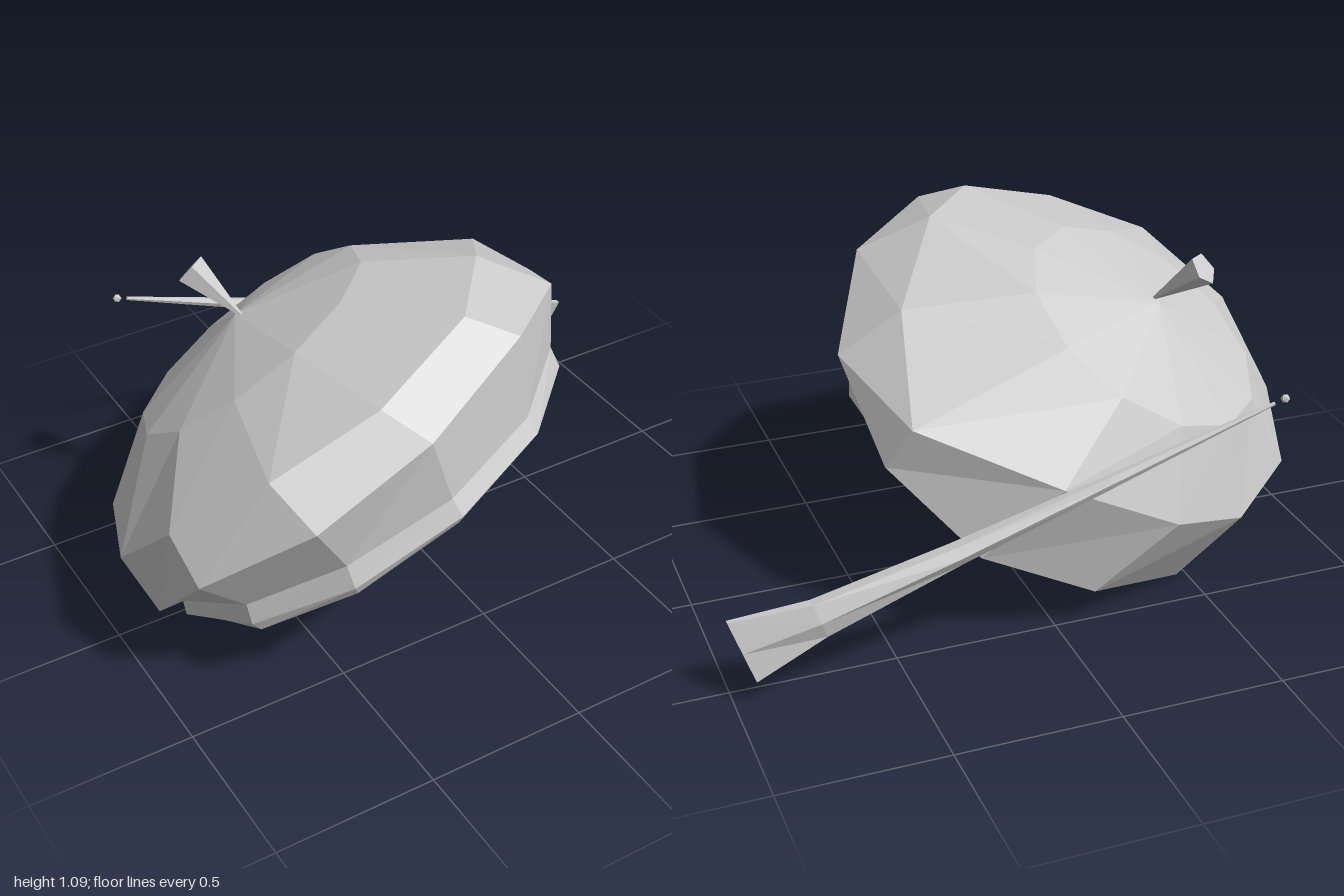
import * as THREE from 'three';

const V = (x, y, z) => new THREE.Vector3(x, y, z);
const material = new THREE.MeshStandardMaterial({ color: 0xcccccc, flatShading: true });

// Tilted elliptical ring: centre, two half-axis vectors, optional nudges per corner
function ring(sides, c, a, b, nudges = {}) {
  return Array.from({ length: sides }, (_, i) => {
    const t = (i / sides) * Math.PI * 2;
    return V(...c)
      .addScaledVector(V(...a), Math.cos(t))
      .addScaledVector(V(...b), Math.sin(t))
      .add(V(...(nudges[i] ?? [0, 0, 0])));
  });
}

// A ring collapsed to one point, closing a loft
const point = (sides, c) => ring(sides, c, [0, 0, 0], [0, 0, 0]);

// Flat-shaded skin through consecutive rings
function loft(name, rings) {
  const pos = [];
  const tri = (a, b, c) => {
    if (a.equals(b) || b.equals(c) || a.equals(c)) return;
    for (const p of [a, b, c]) pos.push(p.x, p.y, p.z);
  };
  for (let r = 0; r + 1 < rings.length; r++) {
    const up = rings[r], low = rings[r + 1], n = up.length;
    for (let i = 0; i < n; i++) {
      const j = (i + 1) % n;
      tri(low[i], low[j], up[j]);
      tri(low[i], up[j], up[i]);
    }
  }
  const geo = new THREE.BufferGeometry();
  geo.setAttribute('position', new THREE.Float32BufferAttribute(pos, 3));
  geo.computeVertexNormals();
  const mesh = new THREE.Mesh(geo, material);
  mesh.name = name;
  return mesh;
}

export function createModel() {
  const group = new THREE.Group();
  group.name = 'beretWithBrush';

  // Puffed, tilted cap: crown, upper rim, lower rim, fold, headband and hollow inside
  const N = 12;
  const upperRimNudges = {
    0: [0, -0.03, 0],
    2: [-0.07, 0.03, 0],
    4: [0.12, -0.05, 0],
    5: [-0.04, 0.01, -0.03],
    6: [-0.08, 0, 0.01],
    9: [0, -0.04, 0.04],
  };
  const lowerRimNudges = {
    0: [0, -0.015, 0],
    1: [0, 0.03, 0],
    2: [-0.02, 0.02, 0.02],
    6: [0, 0.02, 0],
    7: [0.02, -0.01, 0.035],
    10: [-0.03, 0.03, -0.03],
  };
  const foldNudges = { 0: [0, 0.02, 0], 9: [0, 0.03, 0], 10: [0, 0.05, 0], 11: [0, 0.05, 0] };
  const bandNudges = { 5: [0, -0.03, 0], 6: [0, -0.03, 0] };
  const openingNudges = { 6: [0, -0.02, 0], 8: [0, 0.025, 0], 9: [0, 0.03, 0] };
  group.add(loft('beret', [
    point(N, [-0.45, 0.86, -0.2]),
    ring(N, [-0.42, 0.78, -0.17], [-0.04, 0.17, 0.36], [0.38, 0.18, -0.05]),
    ring(N, [-0.33, 0.66, -0.035], [-0.07, 0.326, 0.594], [0.67, 0.259, -0.08], upperRimNudges),
    ring(N, [-0.21, 0.495, 0.07], [-0.1, 0.405, 0.61], [0.73, 0.285, -0.125], lowerRimNudges),
    ring(N, [-0.2, 0.42, 0.09], [-0.03, 0.21, 0.57], [0.65, 0.26, -0.08], foldNudges),
    ring(N, [-0.19, 0.375, 0.1], [-0.02, 0.22, 0.585], [0.66, 0.23, -0.08], bandNudges),
    ring(N, [-0.19, 0.355, 0.13], [-0.02, 0.205, 0.535], [0.63, 0.23, -0.08], openingNudges),
    point(N, [-0.25, 0.61, 0.04]),
  ]));

  // Small flared stem on the crown
  const foot = V(-0.44, 0.865, -0.175), tip = V(-0.543, 0.995, -0.3);
  const axis = tip.clone().sub(foot);
  const stem = new THREE.Mesh(new THREE.CylinderGeometry(0.052, 0.004, axis.length(), 5), material);
  stem.name = 'stem';
  stem.position.copy(foot).lerp(tip, 0.5);
  stem.quaternion.setFromUnitVectors(V(0, 1, 0), axis.normalize());
  group.add(stem);

  // Long brush behind the cap: x, y, z, half width, half depth, twist per station
  const stations = [
    [-0.6, 0.71, -0.672, 0.006, 0.004, 0],
    [-0.1, 0.535, -0.645, 0.022, 0.018, 0],
    [0.35, 0.37, -0.605, 0.035, 0.036, 0],
    [0.75, 0.235, -0.585, 0.063, 0.034, 0.1],
    [0.968, 0.157, -0.556, 0.107, 0.016, 0.3],
  ];
  const section = ([x, y, z, w, d, twist]) =>
    ring(6, [x, y, z], [0, 0, d], [w * 0.33, w * 0.94, w * twist]);
  group.add(loft('brush', [
    point(6, stations[0].slice(0, 3)),
    ...stations.map(section),
    point(6, stations.at(-1).slice(0, 3)),
  ]));

  // Tiny knob at the thin end of the brush
  const knob = new THREE.Mesh(new THREE.IcosahedronGeometry(0.014, 0), material);
  knob.name = 'brushKnob';
  knob.position.set(-0.632, 0.72, -0.673);
  group.add(knob);

  return group;
}
